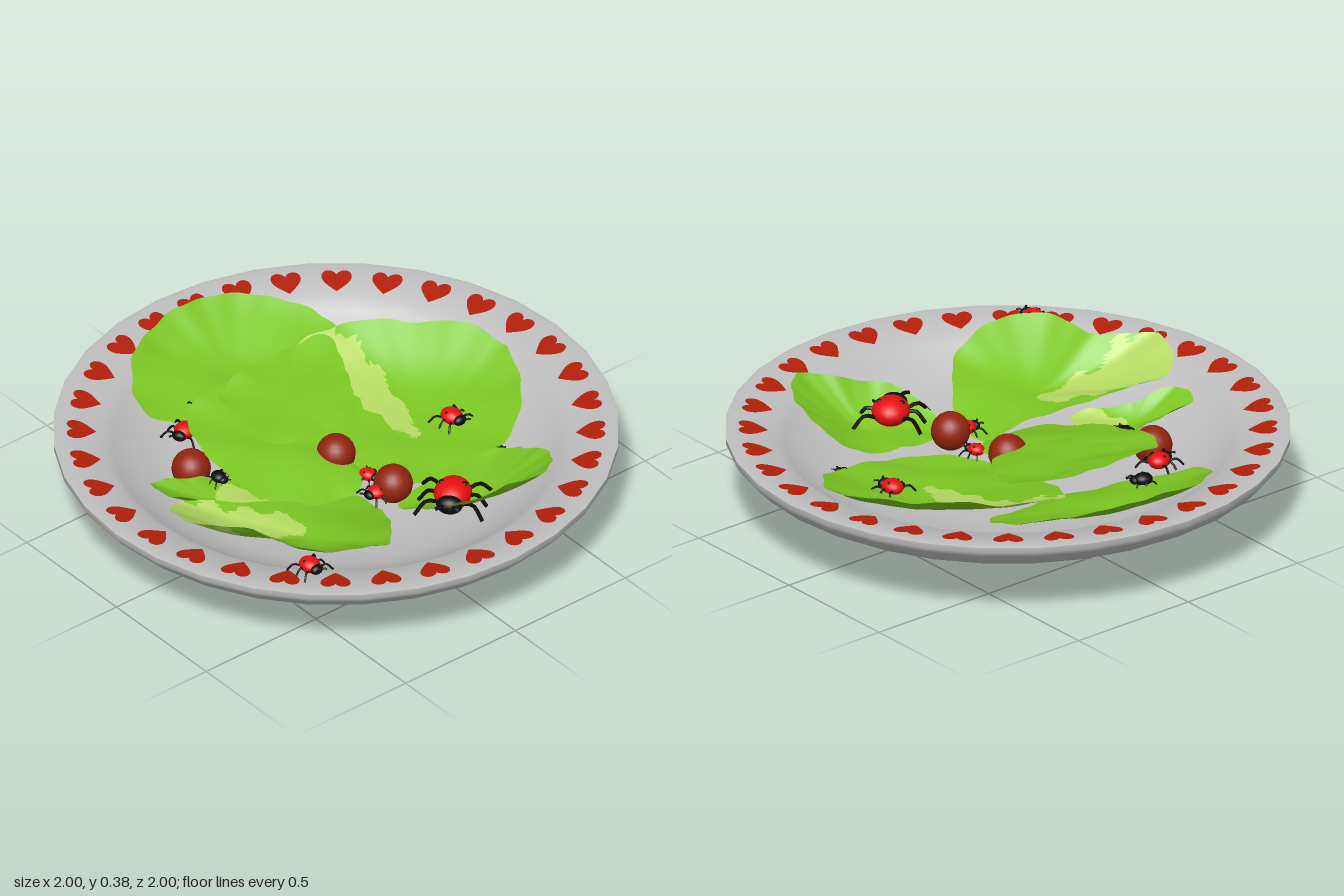
import * as THREE from 'three';
import { mergeVertices, toCreasedNormals } from 'three/addons/utils/BufferGeometryUtils.js';

const mat = (name, color, side = THREE.FrontSide) => {
  const m = new THREE.MeshStandardMaterial({ color, side });
  m.name = name;
  return m;
};

// Upper surface of the plate, from rim to middle: [radius, height]
const dish = [[0.985, 0.328], [0.83, 0.305], [0.79, 0.275], [0.7, 0.212], [0.58, 0.168], [0.4, 0.152], [0, 0.148]];
function dishY(r) {
  for (let i = 1; i < dish.length; i++) {
    const [r1, y1] = dish[i - 1], [r0, y0] = dish[i];
    if (r >= r0) return y0 + (y1 - y0) * Math.min(1, (r - r0) / (r1 - r0));
  }
}

// Crinkled leaf: rings from a low centre out to a tilted edge.
// radii are evenly spaced by angle from +x towards +z; tilt is the edge slope along x and z.
function leafGeometry({ centre: [cx, cy, cz], radii, edgeY, tilt, stem, seed, below }) {
  const N = 96, R = 18;
  const rim = new THREE.CatmullRomCurve3(radii.map((r, i) => {
    const a = (i / radii.length) * Math.PI * 2, dx = r * Math.cos(a), dz = r * Math.sin(a);
    return new THREE.Vector3(dx, edgeY + tilt[0] * dx + tilt[1] * dz, dz);
  }), true, 'centripetal').getSpacedPoints(N).slice(0, N);
  const rib = stem ? new THREE.CatmullRomCurve3(stem.path.map(([x, z]) => new THREE.Vector3(x, 0, z))).getPoints(24) : [];
  const pos = [], green = [], pale = [];
  for (let r = 0; r <= R; r++) {
    const t = r / R;
    rim.forEach((e, i) => {
      const k = t * (1 + 0.012 * t * Math.sin(i * 1.1 + seed));
      const x = cx + e.x * k, z = cz + e.z * k;
      let y = cy + (e.y - cy) * Math.pow(t, 1.7);
      y += 0.006 * Math.sin(17 * x + seed) * Math.sin(15 * z + seed * 2) + 0.004 * t ** 4 * Math.sin(i * 0.55 + seed);
      if (!below) y = Math.max(y, dishY(Math.hypot(x, z)) + 0.012);
      pos.push(x, y, z);
    });
  }
  // Triangles close to the stem line become pale
  const put = (...tri) => {
    let x = 0, z = 0;
    for (const v of tri) { x += pos[v * 3] / 3; z += pos[v * 3 + 2] / 3; }
    const near = rib.some((p, i) => Math.hypot(p.x - x, p.z - z) <
      THREE.MathUtils.lerp(stem.from, stem.to, i / 24) * (1 + 0.2 * Math.sin(31 * x + 43 * z)));
    (near ? pale : green).push(...tri);
  };
  for (let r = 0; r < R; r++) for (let i = 0; i < N; i++) {
    const j = (i + 1) % N, a = r * N + i, b = r * N + j, c = b + N, d = a + N;
    if (r > 0) put(a, b, c);
    put(a, c, d);
  }
  let g = new THREE.BufferGeometry();
  g.setAttribute('position', new THREE.Float32BufferAttribute(pos, 3));
  g.setIndex([...green, ...pale]);
  g = mergeVertices(g, 1e-5);
  g.addGroup(0, green.length, 0);
  g.addGroup(green.length, pale.length, 1);
  g.computeVertexNormals();
  return g;
}

export function createModel() {
  const model = new THREE.Group();
  const china = mat('china', 0xbfbfbf);
  const heartRed = mat('heartRed', 0xb21f0a, THREE.DoubleSide);
  const leafGreen = mat('leafGreen', 0x7cc622, THREE.DoubleSide);
  const stemGreen = mat('stemGreen', 0xb4da62, THREE.DoubleSide);
  const tomatoRed = mat('tomatoRed', 0x92240e);
  const beetleRed = mat('beetleRed', 0xe51010);
  const black = mat('black', 0x0c0c0c);
  const add = (parent, name, geometry, material, x = 0, y = 0, z = 0) => {
    const m = new THREE.Mesh(geometry, material);
    m.name = name;
    m.position.set(x, y, z);
    parent.add(m);
    return m;
  };
  const lathe = (pts, seg, ...arc) => new THREE.LatheGeometry(pts.map(p => new THREE.Vector2(...p)), seg, ...arc);

  // Plate: softly shaded underside with a hollow foot, and a creased dish
  add(model, 'plateUnderside', lathe([[0, 0.138], [0.5, 0.138], [0.53, 0.137], [0.536, 0.085], [0.54, 0.085], [0.541, 0.14],
    [0.72, 0.175], [0.9, 0.218], [0.955, 0.25], [0.99, 0.288], [1, 0.305], [1, 0.325]], 32), china);
  add(model, 'plateDish', toCreasedNormals(lathe([[1, 0.325], ...dish], 32), 0.6), china);

  // Ring of hearts, tips towards the middle
  const heart = new THREE.Shape();
  heart.moveTo(0, -0.055);
  heart.bezierCurveTo(0.03, -0.025, 0.06, 0, 0.053, 0.03);
  heart.bezierCurveTo(0.045, 0.06, 0.01, 0.055, 0, 0.03);
  heart.bezierCurveTo(-0.01, 0.055, -0.045, 0.06, -0.053, 0.03);
  heart.bezierCurveTo(-0.06, 0, -0.03, -0.025, 0, -0.055);
  const heartGeo = new THREE.ShapeGeometry(heart, 6).rotateX(-Math.PI / 2 + 0.148).translate(0, 0.3205, -0.9);
  for (let i = 0; i < 32; i++) add(model, 'heart', heartGeo, heartRed).rotation.y = ((i + 0.5) * Math.PI) / 16;

  // Red glaze marks wrapping the foot, and one on the underside
  for (const [from, to] of [[-0.186, -0.055], [0.093, 0.42]])
    add(model, 'footMark', lathe([[0.526, 0.136], [0.534, 0.083], [0.542, 0.083], [0.544, 0.139]], 6, from, to - from), heartRed);
  add(model, 'undersideMark', lathe([[0.6, 0.148], [0.72, 0.171], [0.86, 0.204]], 4, 3.26, 0.2), heartRed);

  // Salad leaves
  const leaf = (name, seed, shape) => add(model, name, leafGeometry({ seed, ...shape }), [leafGreen, stemGreen]);
  leaf('backLeaf', 0.5, { centre: [0.02, 0.23, -0.57], edgeY: 0.27, tilt: [0.04, -0.37],
    radii: [0.41, 0.42, 0.3, 0.27, 0.26, 0.28, 0.42, 0.38, 0.32, 0.29, 0.3, 0.34] });
  leaf('rightLeaf', 2.2, { centre: [0.42, 0.18, -0.02], edgeY: 0.245, tilt: [0.18, -0.17],
    radii: [0.37, 0.345, 0.34, 0.34, 0.37, 0.41, 0.41, 0.44, 0.54, 0.46, 0.36, 0.37],
    stem: { path: [[0.24, -0.52], [0.33, -0.36], [0.34, -0.15], [0.33, 0.03]], from: 0.13, to: 0.025 } });
  leaf('middleLeaf', 3.9, { centre: [-0.15, 0.255, -0.13], edgeY: 0.25, tilt: [0, -0.22],
    radii: [0.36, 0.23, 0.32, 0.34, 0.3, 0.27, 0.25, 0.29, 0.35, 0.33, 0.37, 0.42] });
  leaf('topLeaf', 5.6, { centre: [0.03, 0.3, -0.27], edgeY: 0.31, tilt: [0.02, -0.2],
    radii: [0.235, 0.21, 0.21, 0.2, 0.22, 0.26, 0.23, 0.27, 0.21, 0.19, 0.22, 0.32] });
  leaf('smallLeftLeaf', 7.3, { centre: [-0.5, 0.215, -0.08], edgeY: 0.245, tilt: [-0.3, 0],
    radii: [0.15, 0.18, 0.23, 0.11, 0.08, 0.1, 0.19, 0.22, 0.12, 0.09, 0.1, 0.12],
    stem: { path: [[-0.43, -0.04], [-0.37, 0.12]], from: 0.06, to: 0.08 } });
  leaf('leftLeaf', 9, { centre: [-0.38, 0.22, 0.33], edgeY: 0.285, tilt: [-0.3, 0.18],
    radii: [0.32, 0.29, 0.28, 0.31, 0.31, 0.32, 0.31, 0.28, 0.27, 0.47, 0.49, 0.28, 0.22, 0.2, 0.2, 0.34],
    stem: { path: [[-0.8, 0.07], [-0.64, 0.14], [-0.42, 0.24]], from: 0.16, to: 0.06 } });
  leaf('frontLeaf', 10.7, { centre: [0.22, 0.2, 0.47], edgeY: 0.265, tilt: [0.12, 0.4],
    radii: [0.25, 0.29, 0.29, 0.19, 0.18, 0.2, 0.22, 0.25, 0.19, 0.17, 0.19, 0.24] });
  // Leaf tips showing through the base
  leaf('longTipBelow', 12.4, { centre: [-0.14, 0.09, -0.07], edgeY: 0.075, tilt: [-0.7, 0.1], below: true,
    radii: [0.1, 0.04, 0.05, 0.1, 0.06, 0.04] });
  leaf('shortTipBelow', 14.1, { centre: [0.2, 0.118, 0.03], edgeY: 0.138, tilt: [0, 0], below: true,
    radii: [0.05, 0.04, 0.06, 0.04] });

  // Tomatoes
  const ball = new THREE.SphereGeometry(1, 20, 14);
  for (const [x, y, z] of [[0, 0.222, 0], [0.04, 0.222, 0.27], [-0.447, 0.215, -0.26]])
    add(model, 'tomato', ball, tomatoRed, x, y, z).scale.setScalar(0.07);

  // Ladybirds, heading along +z before turning
  function ladybird(x, y, z, size, yaw, shell = beetleRed) {
    const bug = new THREE.Group();
    bug.name = 'ladybird';
    add(bug, 'shell', ball, shell, 0, 0.5, 0).scale.set(1, 0.75, 1.15);
    add(bug, 'belly', ball, black, 0, 0.3, 0.05).scale.set(0.85, 0.4, 1.1);
    add(bug, 'head', ball, black, 0, 0.5, 1.1).scale.set(0.7, 0.5, 0.5);
    for (const s of [-1, 1]) {
      const d = new THREE.Vector3(s * 0.6, 0.75, -0.1).normalize();
      add(bug, 'spot', ball, black, d.x * 0.97, 0.5 + d.y * 0.73, d.z * 1.12).scale.set(0.15, 0.1, 0.15);
      const limb = (name, ...pts) => add(bug, name, new THREE.TubeGeometry(
        new THREE.CatmullRomCurve3(pts.map(p => new THREE.Vector3(s * p[0], p[1], p[2]))), 6, 0.11, 5), black);
      for (const f of [0.9, 0.05, -0.85]) limb('leg', [0.6, 0.3, f * 0.7], [1.25, 0.55, f * 1.15], [1.8, -0.1, f * 1.6]);
      limb('antenna', [0.2, 0.55, 1.4], [0.4, 0.75, 1.7], [0.65, 0.7, 1.9]);
    }
    bug.position.set(x, y, z);
    bug.rotation.y = yaw;
    bug.scale.setScalar(size);
    model.add(bug);
  }
  ladybird(0.14, 0.22, 0.48, 0.068, -0.85);
  ladybird(0.47, 0.19, 0.07, 0.037, 0.1);
  ladybird(-0.345, 0.225, -0.42, 0.038, -1.2);
  ladybird(-0.61, 0.335, 0.6, 0.036, 0);
  ladybird(-0.03, 0.2, 0.265, 0.032, -1.6);
  ladybird(0.03, 0.18, 0.14, 0.028, 0.3);
  ladybird(-0.21, 0.225, -0.495, 0.03, 1.2, black);
  ladybird(-0.42, 0.22, -0.14, 0.026, 0, black);
  ladybird(0.49, 0.165, 0.31, 0.026, 0.2, black);
  return model;
}
